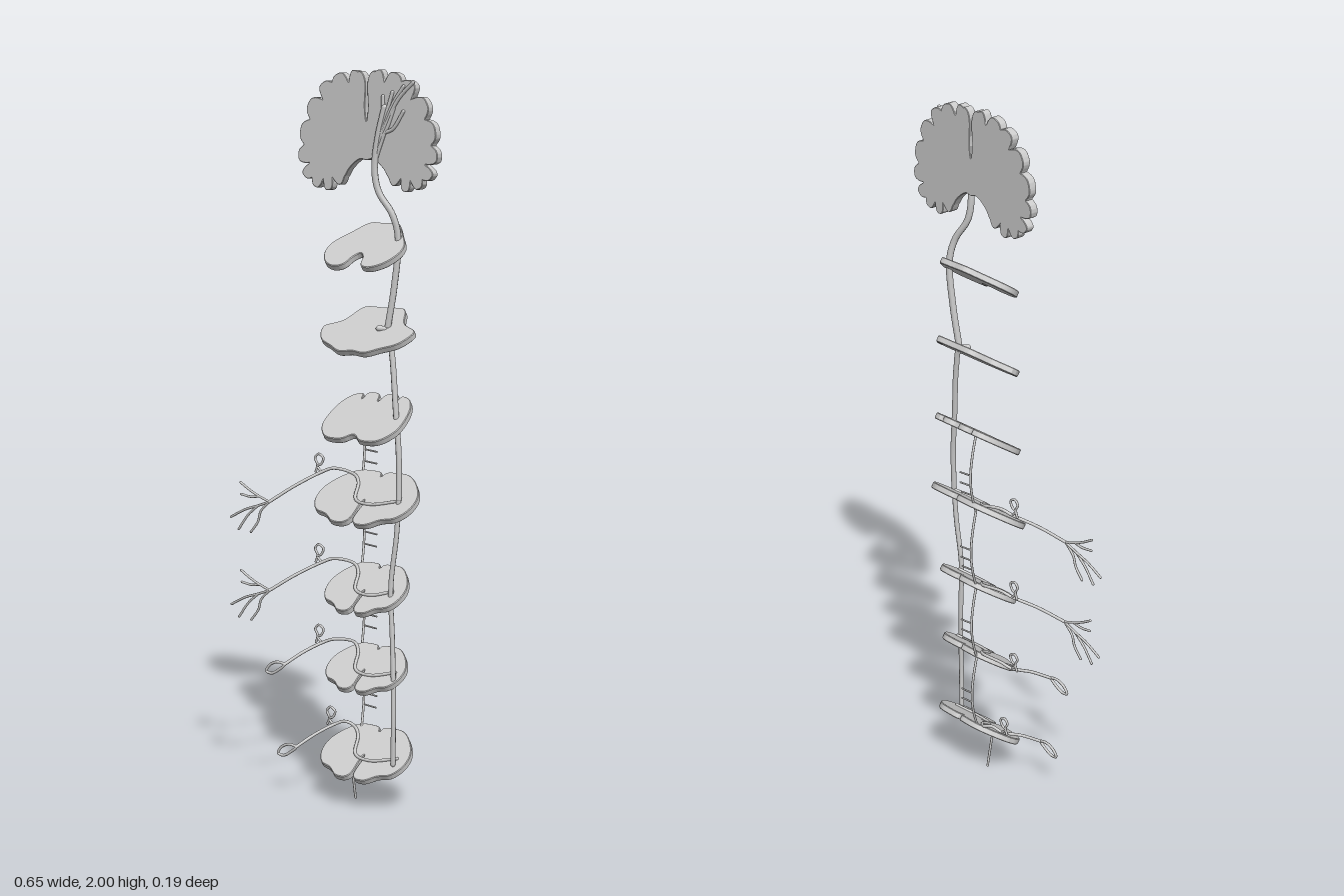
import * as THREE from 'three';
import { toCreasedNormals } from 'three/addons/utils/BufferGeometryUtils.js';

const TILT = THREE.MathUtils.degToRad(34);
const CX = 0.1; // midline of brain and cord
const THICK = 0.018;
const mat = new THREE.MeshStandardMaterial({ color: 0xcccccc });

const V = (p) => new THREE.Vector3(p[0], p[1], p[2] ?? 0);

function add(parent, name, geometry) {
  const mesh = new THREE.Mesh(geometry, mat);
  mesh.name = name;
  parent.add(mesh);
  return mesh;
}

// Round-ended fibre through a few points
function fibre(parent, name, pts, r = 0.004, closed = false) {
  const curve = new THREE.CatmullRomCurve3(pts.map(V), closed, 'centripetal');
  const mesh = add(parent, name, new THREE.TubeGeometry(curve, pts.length * 7, r, 8, closed));
  if (!closed) {
    for (const p of [pts[0], pts[pts.length - 1]]) {
      add(parent, name + 'End', new THREE.SphereGeometry(r, 8, 6)).position.copy(V(p));
    }
  }
  return mesh;
}

// Half outline (midline back -> midline front) mirrored to a closed smooth outline
function mirrored(half, samples) {
  const other = half.filter((p) => p[0] > 0).map(([x, y]) => [-x, y]).reverse();
  return new THREE.CatmullRomCurve3([...half, ...other].map(V), true, 'centripetal').getPoints(samples).slice(0, -1);
}

function plate(points, depth, bevel = 0.002) {
  const shape = new THREE.Shape(points.map((p) => new THREE.Vector2(p.x, p.y)));
  const geo = new THREE.ExtrudeGeometry(shape, {
    depth: depth - 2 * bevel, bevelEnabled: true, bevelThickness: bevel, bevelSize: bevel, bevelOffset: -bevel, bevelSegments: 1,
  });
  geo.translate(0, 0, bevel - depth / 2);
  return toCreasedNormals(geo, 0.7);
}

// Cord section outlines: [sideways, towards the back]
const midbrain = [[0, 0.1], [0.045, 0.1], [0.08, 0.06], [0.118, 0.005], [0.12, -0.03], [0.095, -0.075],
  [0.055, -0.095], [0.028, -0.085], [0.015, -0.05], [0, -0.035]];
const pons = [[0, 0.103], [0.06, 0.103], [0.075, 0.09], [0.1, 0.04], [0.147, 0.012], [0.148, -0.005],
  [0.125, -0.045], [0.08, -0.07], [0.04, -0.09], [0, -0.085]];
const medulla = [[0, 0.065], [0.01, 0.092], [0.03, 0.1], [0.05, 0.095], [0.056, 0.07], [0.064, 0.092], [0.09, 0.085],
  [0.113, 0.055], [0.125, 0], [0.12, -0.05], [0.085, -0.092], [0.03, -0.095], [0, -0.075]];
const cord = [[0, 0.08], [0.008, 0.095], [0.04, 0.1], [0.085, 0.095], [0.13, 0.06], [0.157, 0.015], [0.155, -0.03],
  [0.13, -0.065], [0.09, -0.078], [0.055, -0.1], [0.02, -0.1], [0.005, -0.085], [0.004, -0.02], [0, -0.012]];

// name, height, outline, width scale, depth scale
const sections = [
  ['midbrainSection', 1.53, midbrain, 1, 1],
  ['ponsSection', 1.3, pons, 1, 1],
  ['medullaSection', 1.068, medulla, 1, 1],
  ['cervicalSection', 0.848, cord, 1, 1.05],
  ['thoracicSection', 0.598, cord, 0.79, 0.95],
  ['lumbarSection', 0.375, cord, 0.78, 0.87],
  ['sacralSection', 0.135, cord, 0.88, 0.97],
];

// Brain slice with furrows cut along the outer rim
function brainGeometry() {
  const half = [[0, 1.865], [0.005, 1.9], [0.004, 1.97], [0.015, 1.993], [0.05, 2.0], [0.11, 1.985], [0.165, 1.95],
    [0.207, 1.88], [0.225, 1.8], [0.218, 1.735], [0.18, 1.695], [0.135, 1.68], [0.085, 1.695],
    [0.055, 1.74], [0.02, 1.765], [0, 1.762]];
  const pts = mirrored(half, 640);
  const n = pts.length;
  const out = pts.map((p, i) => {
    const t = i / n < 0.5 ? i / n : 1 - i / n; // same along both halves
    if (t < 0.11 || t > 0.42) return p;
    const u = ((t - 0.11) / 0.31) * 10;
    const furrow = Math.abs(Math.sin(Math.PI * u));
    const depth = 0.026 + 0.012 * Math.sin(Math.floor(u + 0.5) * 2.4);
    const tangent = pts[(i + 1) % n].clone().sub(pts[(i + n - 1) % n]).normalize();
    const inward = new THREE.Vector3(tangent.y, -tangent.x, 0);
    const edge = Math.min(1, (t - 0.11) * 60, (0.42 - t) * 60);
    return p.clone().addScaledVector(inward, depth * edge * Math.pow(1 - furrow, 1.6));
  });
  return plate(out.reverse(), 0.025, 0.0015);
}

// Height of a section's upper face at depth z
const onPlate = (y, z) => y - Math.tan(TILT) * z + 0.013;

// Nerve from the tract across a section and out to the model's right
function peripheralNerve(parent, y, tractX, exit, end) {
  const g = new THREE.Group();
  g.name = 'peripheralNerve';
  parent.add(g);
  fibre(g, 'nerveRoot', [
    [tractX, onPlate(y, 0.01), 0.01], [0.13, onPlate(y, 0.03), 0.03], [0.075, onPlate(y, 0.02), 0.02],
    [0.045, onPlate(y, -0.035), -0.035], [0.01, onPlate(y, -0.06), -0.062],
    [exit[0] + 0.03, exit[1] + 0.012, -0.055], [exit[0], exit[1], -0.042],
    [(exit[0] + end[0]) / 2, (exit[1] + end[1]) / 2 + 0.004, 0.01], [end[0], end[1], 0.06],
  ], 0.0045);
  // Ganglion loop on a short stalk
  const [x, h] = exit;
  fibre(g, 'ganglionLoop', [[x, h, -0.042], [x + 0.006, h + 0.02, -0.042], [x - 0.002, h + 0.038, -0.042],
    [x + 0.01, h + 0.05, -0.042], [x + 0.026, h + 0.04, -0.042], [x + 0.018, h + 0.022, -0.042],
    [x + 0.006, h + 0.016, -0.042]].map(([a, b, c]) => [a - 0.02, b, c]).concat([[x, h, -0.042]]), 0.0035);
  return g;
}

// Branching nerve endings: offsets from the nerve's end
function endings(parent, [x, y]) {
  const branches = [
    [[0, 0], [-0.035, 0.012], [-0.065, 0.025], [-0.1, 0.045]],
    [[-0.035, 0.012], [-0.065, 0.008], [-0.098, 0.012]],
    [[0, 0], [-0.04, -0.015], [-0.085, -0.03], [-0.135, -0.056]],
    [[-0.04, -0.015], [-0.075, -0.045], [-0.108, -0.088]],
    [[0, 0], [-0.03, -0.03], [-0.04, -0.06], [-0.065, -0.092]],
  ];
  for (const b of branches) fibre(parent, 'nerveEnding', b.map(([dx, dy]) => [x + dx, y + dy, 0.06]), 0.0035);
}

export function createModel() {
  const model = new THREE.Group();
  model.name = 'nervousPathways';

  const brain = add(model, 'brainSection', brainGeometry());
  brain.position.set(CX - 0.005, 0, -0.01);

  for (const [name, y, half, sx, sy] of sections) {
    const outline = mirrored(half.map(([a, b]) => [a * sx, b * sy]), 150).reverse();
    const mesh = add(model, name, plate(outline, THICK));
    mesh.position.set(CX, y, 0);
    mesh.rotation.x = TILT - Math.PI / 2;
  }

  // Descending tract
  fibre(model, 'upperTract', [[0.155, 1.9, 0.004], [0.135, 1.82, 0.006], [0.125, 1.74, 0.006], [0.135, 1.68, 0.002],
    [0.17, 1.62, -0.012], [0.182, 1.56, -0.022], [0.172, 1.43, -0.02], [0.155, 1.32, -0.015]], 0.009);
  fibre(model, 'middleTract', [[0.135, 1.315, 0], [0.155, 1.31, -0.012], [0.17, 1.25, -0.012],
    [0.19, 1.1, -0.002], [0.205, 0.98, 0.005], [0.21, 0.86, 0.011]], 0.008);
  fibre(model, 'lowerTract', [[0.21, 0.86, 0.011], [0.205, 0.76, 0.014], [0.19, 0.62, 0.018],
    [0.198, 0.48, 0.022], [0.206, 0.36, 0.028], [0.21, 0.24, 0.033], [0.207, 0.13, 0.03]], 0.007);

  // Fibres fanning over the front of the brain
  const fan = [[0.15, 1.93], [0.18, 1.94], [0.215, 1.955], [0.245, 1.965], [0.215, 1.89], [0.185, 1.9]];
  fan.forEach(([x, y], i) => fibre(model, 'brainFibre',
    [[0.127, 1.76, 0.006], [0.14 + i * 0.003, 1.83, 0.006], [(x + 0.15) / 2, y - 0.045, 0.005], [x, y, 0.004]], 0.005));

  // Nerves leaving the four cord sections
  const arms = [
    [0.848, 0.208, [-0.085, 0.9], [-0.19, 0.82], true],
    [0.598, 0.19, [-0.085, 0.645], [-0.19, 0.57], true],
    [0.375, 0.2, [-0.085, 0.415], [-0.14, 0.365], false],
    [0.135, 0.207, [-0.045, 0.185], [-0.1, 0.135], false],
  ];
  for (const [y, tx, exit, end, branched] of arms) {
    const nerve = peripheralNerve(model, y, tx, exit, end);
    if (branched) endings(nerve, end);
    else {
      const [x, h] = end;
      fibre(nerve, 'endLoop', [[x, h, 0.06], [x - 0.025, h + 0.004, 0.061], [x - 0.05, h - 0.008, 0.062],
        [x - 0.06, h - 0.026, 0.063], [x - 0.042, h - 0.03, 0.063], [x - 0.02, h - 0.018, 0.061]], 0.004, true);
    }
  }

  // Chain of arcs behind the cord, with short side twigs
  const tops = [1.1, 0.875, 0.64, 0.41, 0.185];
  for (let i = 0; i < 4; i++) {
    const a = tops[i], b = tops[i + 1];
    const at = (t) => [0.035 - 0.012 * Math.sin(Math.PI * t), a + (b - a) * t, -0.066 - 0.03 * Math.sin(Math.PI * t)];
    fibre(model, 'chainArc', [0, 0.2, 0.4, 0.6, 0.8, 1].map(at), 0.0035);
    for (const t of [0.45, 0.59, 0.73]) {
      const [x, y, z] = at(t);
      fibre(model, 'chainTwig', [[x, y, z], [x + 0.02, y - 0.002, z], [x + 0.042, y - 0.004, z]], 0.0025);
    }
  }

  // Tail filament
  fibre(model, 'tailFilament', [[0.06, 0.125, 0.022], [0.061, 0.06, 0.01], [0.06, 0.003, -0.002]], 0.0035);

  return model;
}
